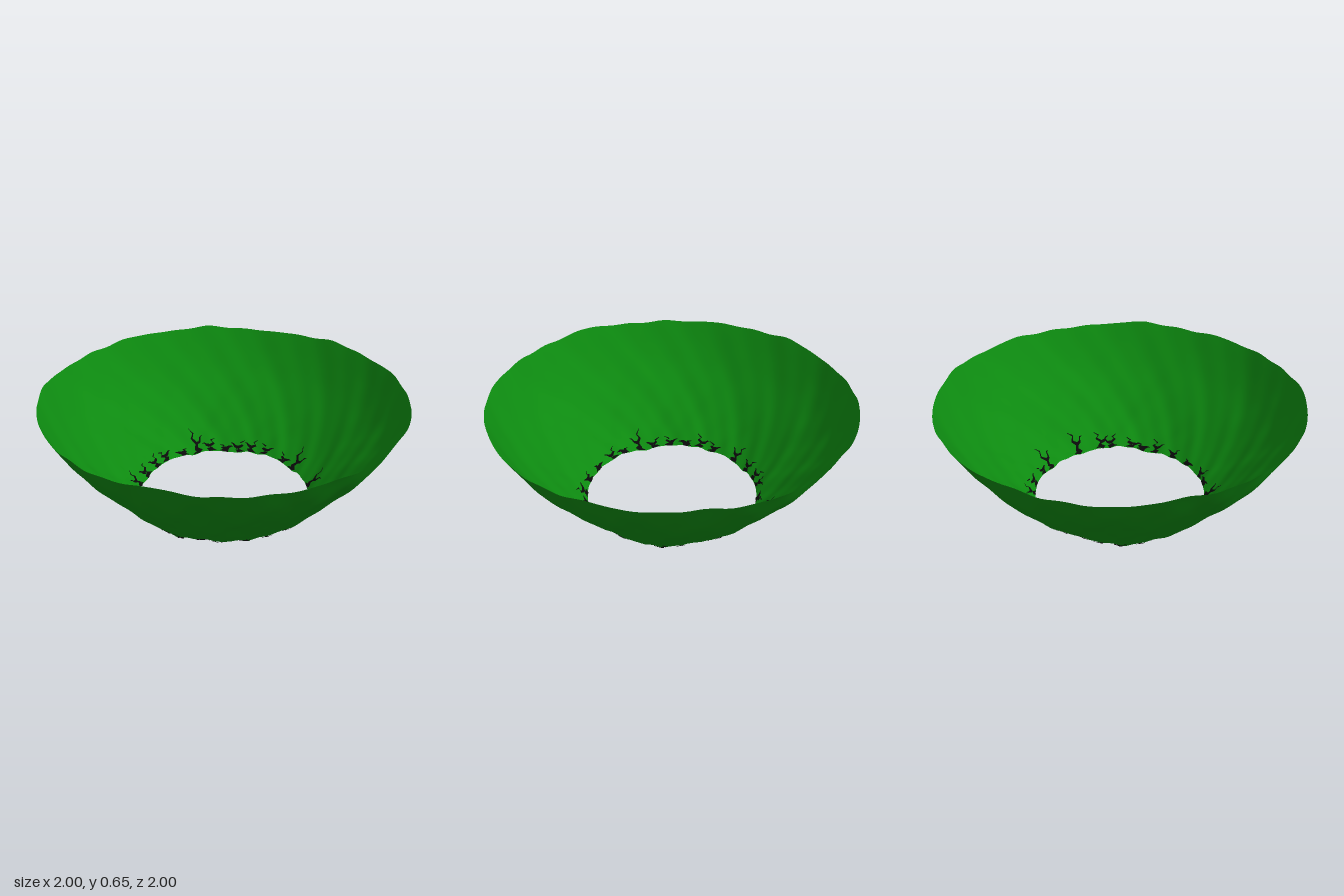
import * as THREE from 'three';

const R0 = 0.485, R1 = 1;
const profile = new THREE.SplineCurve([
  [0.485, 0.02], [0.63, 0.155], [0.815, 0.355], [0.915, 0.49], [1, 0.632],
].map(([r, y]) => new THREE.Vector2(r, y))).getPoints(80);

// Height of the smooth profile at a radius
function profileY(r) {
  let i = 1;
  while (i < profile.length - 1 && profile[i].x < r) i++;
  const a = profile[i - 1], b = profile[i];
  return a.y + (b.y - a.y) * (r - a.x) / (b.x - a.x);
}

// Gentle hammered unevenness, periodic around the ring
const ripple = (a, r) =>
  0.006 * Math.sin(5 * a + 9 * r + 0.6) + 0.005 * Math.sin(9 * a - 14 * r + 2) +
  0.0035 * Math.sin(14 * a + 23 * r + 4) + 0.003 * Math.sin(23 * a - 31 * r + 1) +
  0.002 * Math.sin(31 * a + 37 * r);

// Point on the wall, optionally pushed along its outward side
function wall(a, r, push = 0) {
  const y = Math.max(0, profileY(r) + ripple(a, r));
  const q = r + push * 0.75;
  return [q * Math.cos(a), Math.max(0, y - push * 0.66), q * Math.sin(a)];
}

function surface(positions, index) {
  const g = new THREE.BufferGeometry();
  g.setAttribute('position', new THREE.Float32BufferAttribute(positions, 3));
  g.setIndex(index);
  g.computeVertexNormals();
  return g;
}

// Open bowl wall: closed rings from the hole to the outer rim
function bowlGeometry(segments = 192, rings = 36) {
  const pos = [], index = [];
  for (let j = 0; j <= rings; j++) {
    for (let i = 0; i < segments; i++) {
      pos.push(...wall(i / segments * Math.PI * 2, R0 + (R1 - R0) * j / rings));
    }
  }
  for (let j = 0; j < rings; j++) {
    for (let i = 0; i < segments; i++) {
      const n = (i + 1) % segments;
      const a = j * segments + i, b = j * segments + n;
      index.push(a, a + segments, b, b, a + segments, b + segments);
    }
  }
  return surface(pos, index);
}

let seed = 7;
const random = () => (seed = (seed * 16807) % 2147483647) / 2147483647;

// Tapered ribbon through [sideways, radius] points, laid on both faces of the wall
function addRibbon(pos, index, angle, path, width) {
  for (const push of [-0.004, 0.004]) {
    const start = pos.length / 3;
    path.forEach(([s, r], k) => {
      const p = path[Math.max(0, k - 1)], n = path[Math.min(path.length - 1, k + 1)];
      const dx = n[0] - p[0], dy = n[1] - p[1], len = Math.hypot(dx, dy);
      const w = width * (1 - k / (path.length - 1)) / 2 + 0.001;
      for (const side of [-1, 1]) {
        const r2 = Math.max(R0, r + side * w * dx / len);
        pos.push(...wall(angle + (s - side * w * dy / len) / r2, r2, push));
      }
      if (k) {
        const c = start + 2 * k;
        index.push(c - 2, c - 1, c, c, c - 1, c + 1);
      }
    });
  }
}

// Jagged cracks climbing from the hole: [degrees, outer radius reached]
const cracks = [
  [-90, 0.61], [-82, 0.55], [-70, 0.52], [-62, 0.54], [-53, 0.55], [-41, 0.54],
  [-25, 0.53], [-15, 0.6], [11, 0.59], [28, 0.57], [34, 0.55], [50, 0.53],
  [58, 0.52], [68, 0.55], [81, 0.53], [97, 0.51], [112, 0.54], [121, 0.51],
  [134, 0.58], [145, 0.53], [158, 0.53], [168, 0.51], [180, 0.55], [190, 0.53],
  [207, 0.57], [221, 0.55], [233, 0.55], [244, 0.54], [257, 0.52],
];

function crackGeometry() {
  const pos = [], index = [];
  for (const [deg, reach] of cracks) {
    const angle = deg * Math.PI / 180, length = reach - R0;
    const lean = random() < 0.5 ? -1 : 1;
    const path = [];
    for (let k = 0; k <= 5; k++) {
      const zig = (k % 2 ? 1 : -1) * (0.006 + 0.008 * random());
      path.push([lean * (zig + 0.006 * k), R0 + length * k / 5]);
    }
    addRibbon(pos, index, angle, path, 0.028);
    // Side branch
    const [s, r] = path[2];
    addRibbon(pos, index, angle, [[s, r], [s - lean * 0.02, r + 0.006],
      [s - lean * 0.03, r + length * 0.25], [s - lean * 0.045, r + length * 0.3]], 0.014);
    // Short chip running along the edge of the hole
    addRibbon(pos, index, angle, [[0, R0 + 0.006], [lean * 0.02, R0 + 0.008],
      [lean * 0.04, R0 + 0.004]], 0.014);
  }
  return surface(pos, index);
}

export function createModel() {
  const group = new THREE.Group();
  group.name = 'openBowl';
  const add = (name, geometry, color) => {
    const material = new THREE.MeshStandardMaterial({ color, side: THREE.DoubleSide });
    const mesh = new THREE.Mesh(geometry, material);
    mesh.name = name;
    group.add(mesh);
  };
  add('bowlWall', bowlGeometry(), 0x0d8a10);
  add('cracks', crackGeometry(), 0x0a0a0a);
  return group;
}
